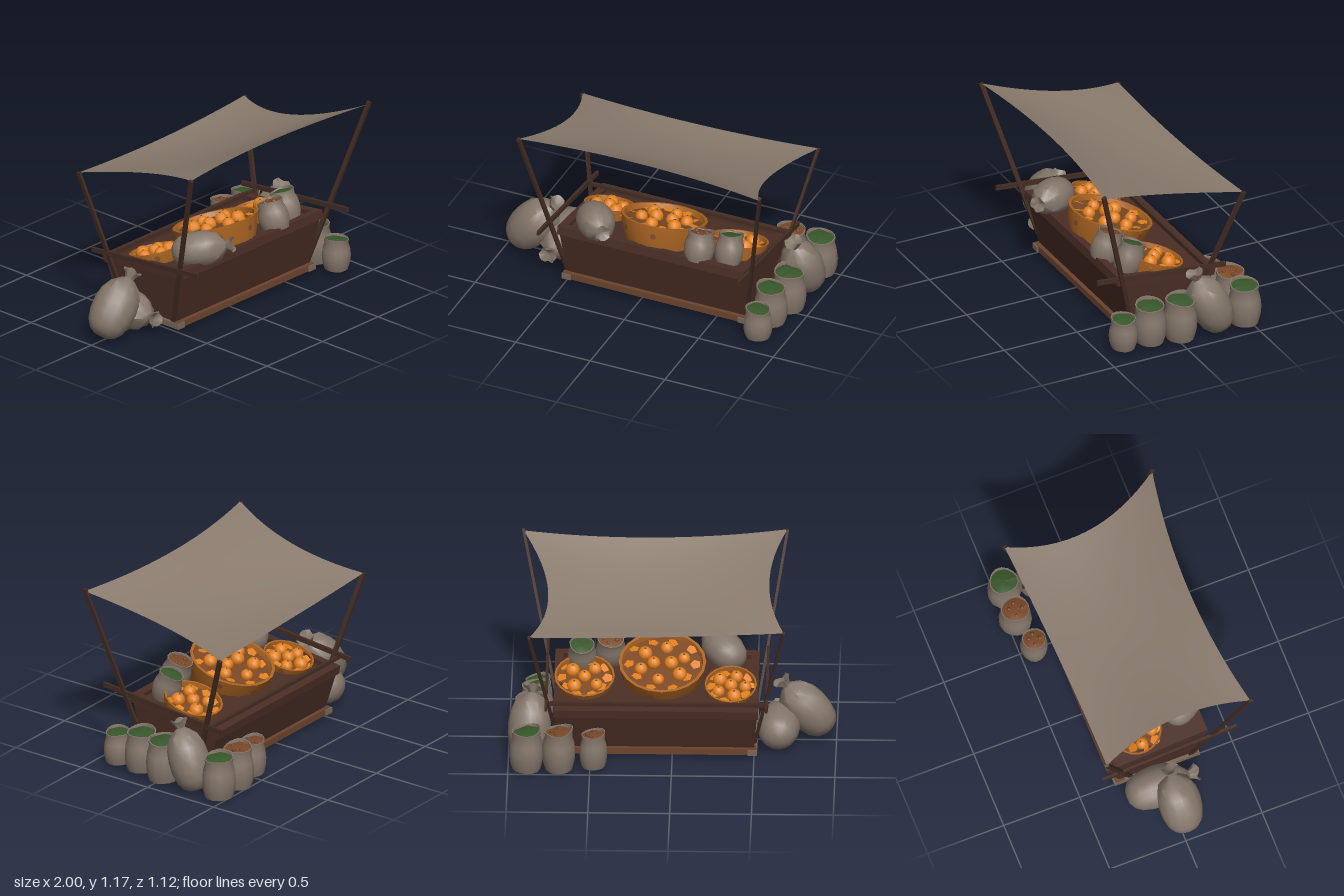
import * as THREE from 'three';
import { mergeVertices, toCreasedNormals } from 'three/addons/utils/BufferGeometryUtils.js';

const mat = (name, color, side = THREE.FrontSide) => {
  const m = new THREE.MeshStandardMaterial({ color, side });
  m.name = name;
  return m;
};
const V = (x, y, z) => new THREE.Vector3(x, y, z);
const UP = V(0, 1, 0);

export function createModel() {
  const root = new THREE.Group();
  root.name = 'marketStall';
  const M = {
    canvas: mat('canvas', 0x8a7b6d, THREE.DoubleSide),
    burlap: mat('burlap', 0x84766a, THREE.DoubleSide),
    crate: mat('crateWood', 0x4a2e25),
    pole: mat('poleWood', 0x432c22),
    base: mat('baseWood', 0x6b432d),
    worn: mat('wornWood', 0x776657),
    basket: mat('wicker', 0xaa6422, THREE.DoubleSide),
    fill: mat('brownFill', 0x7a4826, THREE.DoubleSide),
    orange: mat('orangePeel', 0xe2801e, THREE.DoubleSide),
    green: mat('greenHerbs', 0x38562a, THREE.DoubleSide),
  };
  const add = (parent, name, geo, material, x = 0, y = 0, z = 0) => {
    const m = new THREE.Mesh(geo, material);
    m.name = name;
    m.position.set(x, y, z);
    parent.add(m);
    return m;
  };
  const group = (name, parent = root) => {
    const g = new THREE.Group();
    g.name = name;
    parent.add(g);
    return g;
  };
  const warp = (geo, rule) => {
    const p = geo.attributes.position, v = V(0, 0, 0);
    for (let i = 0; i < p.count; i++) {
      rule(v.fromBufferAttribute(p, i));
      p.setXYZ(i, v.x, v.y, v.z);
    }
    geo.computeVertexNormals();
    return geo;
  };
  const beam = (name, a, b, wx, wz, material) => {
    const d = b.clone().sub(a);
    const m = add(root, name, new THREE.BoxGeometry(wx, d.length(), wz), material);
    m.position.copy(a).add(b).multiplyScalar(0.5);
    m.quaternion.setFromUnitVectors(UP, d.normalize());
  };
  const lathe = (pts, sides) => new THREE.LatheGeometry(pts.map(([r, y]) => new THREE.Vector2(r, y)), sides);
  const smooth = (geo, angle) => {
    geo.deleteAttribute('uv');
    geo.deleteAttribute('normal');
    return toCreasedNormals(mergeVertices(geo), angle);
  };

  // Hollow crate: walls widen upward, the counter slopes down to the back
  const lerp = THREE.MathUtils.lerp;
  const cratePart = (name, w, h, d, x, y, z) => add(root, name, warp(new THREE.BoxGeometry(w, h, d).translate(x, y, z), (v) => {
    const t = v.y + 0.5;
    const px = 0.1 + v.x * lerp(1.2, 1.24, t), pz = v.z * lerp(0.48, 0.64, t);
    v.set(px, lerp(0.055, 0.37 + pz * 0.125, t), pz);
  }), M.crate);
  for (const s of [-1, 1]) {
    cratePart('longWall', 1, 1, 0.04, 0, 0, s * 0.48);
    cratePart('endWall', 0.02, 1, 0.92, s * 0.49, 0, 0);
  }
  cratePart('counter', 0.96, 0.06, 0.92, 0, 0.47, 0);

  // Rim planks around the counter
  const rim = group('crateRim');
  rim.position.set(0.1, 0.372, 0);
  rim.rotation.x = -0.125;
  for (const s of [-1, 1]) {
    add(rim, 'longRim', new THREE.BoxGeometry(1.25, 0.056, 0.05), M.crate, 0, 0, s * 0.31);
    add(rim, 'shortRim', new THREE.BoxGeometry(0.05, 0.056, 0.57), M.crate, s * 0.6, 0, 0);
  }

  // Base frame
  for (const s of [-1, 1]) {
    add(root, 'baseLongPlank', new THREE.BoxGeometry(1.23, 0.04, 0.06), M.base, 0.1, 0.05, s * 0.24);
    add(root, 'baseEndPlank', new THREE.BoxGeometry(0.06, 0.036, 0.56), M.worn, 0.1 + s * 0.59, 0.048, 0);
  }

  // Leaning poles, side bars and a cross bar along the back
  const tops = [V(-0.69, 1.165, 0.545), V(0.925, 1.16, 0.535), V(-0.685, 0.935, -0.395), V(0.872, 0.92, -0.455)];
  const feet = [V(-0.505, 0.07, 0.225), V(0.7, 0.07, 0.225), V(-0.505, 0.07, -0.17), V(0.7, 0.07, -0.16)];
  tops.forEach((t, i) => beam(i < 2 ? 'frontPole' : 'backPole', feet[i], t, 0.017, 0.028, M.pole));
  for (const x of [-0.578, 0.77]) beam('sideBar', V(x, 0.477, 0.5), V(x, 0.39, -0.38), 0.017, 0.03, M.pole);
  beam('backBar', V(-0.59, 0.375, -0.275), V(0.75, 0.375, -0.275), 0.022, 0.02, M.pole);

  // Sagging canopy with drawn-in edges
  add(root, 'canopy', warp(new THREE.PlaneGeometry(1, 1, 20, 16), (p) => {
    const u = p.x + 0.5, v = 0.5 - p.y;
    const bu = 4 * u * (1 - u), bv = 4 * v * (1 - v);
    const back = tops[2].clone().lerp(tops[3], u), front = tops[0].clone().lerp(tops[1], u);
    p.copy(back).lerp(front, v);
    p.x += bv * (0.1 * (1 - u) - 0.135 * u);
    p.z += bu * (0.015 * (1 - v) - 0.08 * v);
    p.y -= 0.015 * u * v + bv * lerp(0.008, 0.055, u) + lerp(0.02, 0.012, v) * bu + 0.03 * bu * bv;
  }), M.canvas);

  // Baskets of oranges, tipped toward the back
  const basket = (x, y, z, R, h, rings) => {
    const g = group('orangeBasket');
    g.position.set(x, y, z);
    g.rotation.x = -0.3;
    add(g, 'basketShell', smooth(lathe([[R * 0.82, -h], [R * 0.93, -h * 0.5], [R, 0], [R * 0.93, 0], [R * 0.89, -0.04]], 20), 0.6), M.basket);
    const bed = add(g, 'basketBed', new THREE.CircleGeometry(R * 0.91, 20), M.fill, 0, -0.03, 0);
    bed.rotation.x = -Math.PI / 2;
    rings.forEach(([n, r], k) => {
      for (let i = 0; i < n; i++) {
        const a = (i / n) * Math.PI * 2 + k * 0.7, s = 0.042 + 0.004 * Math.sin(i * 2.3 + k);
        const fx = Math.cos(a) * r * R, fz = Math.sin(a) * r * R, fy = -0.012 - k * 0.008;
        add(g, 'orange', new THREE.SphereGeometry(s, 10, 7), M.orange, fx, fy, fz);
        add(g, 'orangeStem', new THREE.CylinderGeometry(0.003, 0.008, 0.006, 5), M.green, fx, fy + s, fz);
      }
    });
    // Loose peel pieces near the rim
    for (let i = 0; i < 10; i++) {
      const a = i * 0.63, r = R * (0.76 + 0.06 * Math.sin(i * 1.9));
      const c = add(g, 'peelPiece', new THREE.CircleGeometry(0.034, 5), M.orange, Math.cos(a) * r, -0.02, Math.sin(a) * r);
      c.rotation.set(-Math.PI / 2 + 0.25 * Math.sin(i), 0.25 * Math.cos(i), i);
    }
    // Dark worn patches on the wall
    for (let i = 0; i < 7; i++) {
      const a = i * 0.9 + 0.15, d = h * (0.4 + 0.15 * Math.sin(i * 2.1)), r = R * (1 - 0.15 * d / h) + 0.002;
      const c = add(g, 'wallPatch', new THREE.CircleGeometry(0.02, 6), M.fill, Math.sin(a) * r, -d, Math.cos(a) * r);
      c.rotation.set(0.12, a, 0, 'YXZ');
    }
  };
  basket(0.065, 0.505, 0.045, 0.268, 0.16, [[2, 0.2], [6, 0.52]]);
  basket(0.54, 0.435, -0.01, 0.185, 0.11, [[1, 0], [4, 0.52]]);
  basket(-0.355, 0.415, -0.07, 0.16, 0.09, [[1, 0], [5, 0.55]]);

  // Tied sacks: base point, tip of the neck, belly radius
  const tiedSack = (name, a, b, r, seed) => {
    const d = b.clone().sub(a), len = d.length();
    const pts = [[0, 0], [0.35, 0.012], [0.63, 0.06], [0.84, 0.15], [0.97, 0.3], [1, 0.46], [0.93, 0.62], [0.7, 0.77], [0.35, 0.86], [0.2, 0.89], [0.28, 0.94], [0.42, 1], [0.12, 0.96], [0, 0.95]];
    const geo = warp(lathe(pts, 16), (v) => {
      const t = Math.atan2(v.z, v.x);
      const k = 1 + (v.y > 0.7 ? 0.1 * Math.cos(6 * t) : 0.03 * Math.sin(2 * t + seed));
      v.set(v.x * r * k, (v.y + (v.y > 0.97 ? 0.03 * Math.sin(3 * t) : 0)) * len, v.z * r * k);
    });
    const m = add(root, name, smooth(geo, 0.8), M.burlap);
    m.position.copy(a);
    m.quaternion.setFromUnitVectors(UP, d.normalize());
  };
  tiedSack('leaningSack', V(-0.95, 0.055, 0.03), V(-0.66, 0.395, 0.03), 0.135, 0);
  tiedSack('lyingSack', V(-0.65, 0.135, -0.25), V(-0.645, 0.12, 0.21), 0.13, 1);
  tiedSack('tallSack', V(0.89, 0.02, -0.295), V(0.85, 0.43, -0.125), 0.128, 2);
  tiedSack('counterTiedSack', V(-0.4, 0.46, 0.12), V(-0.18, 0.535, 0.42), 0.114, 3);

  // Open sacks with heaped contents; dip lowers the mouth on one side
  const openSack = (name, x, y, z, r, h, fill, dip = 0.05, tilt = 0) => {
    const g = group(name);
    g.position.set(x, y, z);
    g.rotation.x = tilt;
    const pts = [[0, 0], [0.82, 0], [0.96, 0.2], [1, 0.42], [0.94, 0.65], [0.82, 0.82], [0.86, 1], [0.8, 1], [0.76, 0.88]];
    const drop = (v) => (v.y > 0.84 ? dip * v.x : 0);
    const geo = warp(lathe(pts, 14), (v) => {
      const t = Math.atan2(v.z, v.x), k = 1 + 0.03 * Math.sin(3 * t + x * 9);
      const wave = v.y > 0.95 ? 0.025 * Math.sin(2 * t + z * 9) : 0;
      v.set(v.x * r * k, (v.y + wave - drop(v)) * h, v.z * r * k);
    });
    add(g, 'sackCloth', smooth(geo, 0.8), M.burlap);
    const heap = warp(lathe([[0.8, 0.94], [0.5, 0.97], [0.2, 0.98], [0, 0.98]], 12), (v) => {
      const t = Math.atan2(v.z, v.x), q = Math.hypot(v.x, v.z);
      v.set(v.x * r, (v.y + 0.02 * q * Math.sin(5 * t) - drop(v)) * h, v.z * r);
    });
    add(g, 'sackContents', heap, fill);
    // A few nuts on brown contents
    if (fill === M.fill) for (let i = 0; i < 4; i++) {
      add(g, 'nut', new THREE.SphereGeometry(0.014, 6, 5), M.base, Math.cos(i * 1.7) * r * 0.4, h * 0.96, Math.sin(i * 1.7) * r * 0.4);
    }
  };
  openSack('herbSack', 0.83, 0.025, 0.35, 0.09, 0.2, M.green);
  openSack('herbSack', 0.835, 0.025, 0.17, 0.105, 0.25, M.green);
  openSack('herbSack', 0.87, 0.02, -0.02, 0.107, 0.265, M.green);
  openSack('herbSack', 0.885, 0.025, -0.455, 0.105, 0.26, M.green);
  openSack('nutSack', 0.69, 0.025, -0.455, 0.103, 0.26, M.fill);
  openSack('nutSack', 0.48, 0.025, -0.415, 0.086, 0.22, M.fill);
  openSack('counterSack', 0.385, 0.405, 0.265, 0.095, 0.185, M.fill, -0.03, -0.33);
  openSack('counterSack', 0.56, 0.395, 0.2, 0.09, 0.185, M.green, -0.03, -0.33);

  return root;
}
